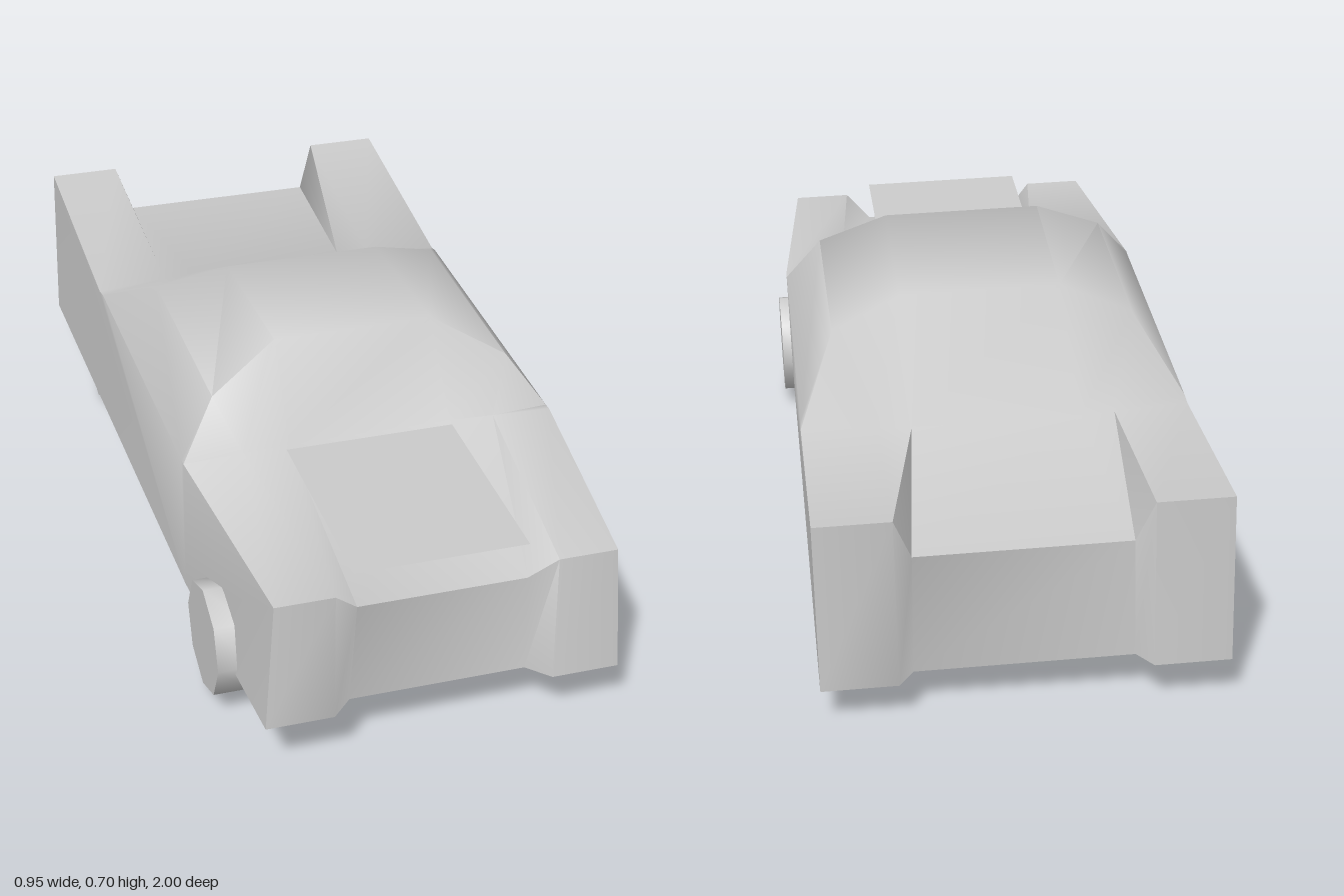
import * as THREE from 'three';
import { toCreasedNormals } from 'three/addons/utils/BufferGeometryUtils.js';

const material = new THREE.MeshStandardMaterial({ color: 0xcccccc });
const thin = new THREE.MeshStandardMaterial({ color: 0xcccccc, side: THREE.DoubleSide });

// Rows run round the body from the front sill, over the roof, to the floor.
// Each row gives three points [x, y, z]: outer side, fender/shoulder, centre panel.
const rows = [
  [[0.42, 0.157, 1.0], [0.26, 0.157, 1.0], [0.21, 0.157, 0.95]], // front sill
  [[0.40, 0.475, 0.98], [0.26, 0.475, 0.98], [0.2, 0.415, 0.95]], // nose top
  [[0.455, 0.49, 0.42], [0.31, 0.495, 0.42], [0.2, 0.5, 0.42]], // windscreen base
  [[0.455, 0.488, 0.4], [0.365, 0.612, 0.34], [0.195, 0.70, 0.27]], // roof front
  [[0.457, 0.475, -0.41], [0.365, 0.605, -0.2], [0.195, 0.665, -0.15]], // roof rear
  [[0.458, 0.468, -0.44], [0.28, 0.47, -0.46], [0.2, 0.47, -0.47]], // rear window base
  [[0.46, 0.523, -1.0], [0.285, 0.523, -1.0], [0.245, 0.412, -0.965]], // tail top
  [[0.46, 0.108, -1.0], [0.285, 0.108, -1.0], [0.25, 0.109, -0.95]], // rear sill
  [[0.452, 0.142, 0.42], [0.28, 0.142, 0.42], [0.2, 0.142, 0.42]], // floor
];

function bodyGeometry() {
  const full = rows.map((row) => [
    ...row.map(([x, y, z]) => [-x, y, z]),
    ...row.slice().reverse(),
  ]);
  const n = full.length;
  const positions = [];
  const tri = (...points) => points.forEach((p) => positions.push(...p));

  // Wrap of panels across the car
  for (let r = 0; r < n; r++) {
    const a = full[r];
    const b = full[(r + 1) % n];
    for (let c = 0; c < 5; c++) {
      tri(a[c], a[c + 1], b[c + 1]);
      tri(a[c], b[c + 1], b[c]);
    }
  }
  // Flat sides, fanned from the floor point
  for (let r = 0; r < n - 2; r++) {
    tri(full[n - 1][5], full[r + 1][5], full[r][5]);
    tri(full[n - 1][0], full[r][0], full[r + 1][0]);
  }
  const geometry = new THREE.BufferGeometry();
  geometry.setAttribute('position', new THREE.Float32BufferAttribute(positions, 3));
  return toCreasedNormals(geometry, 1.1);
}

export function createModel() {
  const model = new THREE.Group();
  model.name = 'car';
  const car = new THREE.Group();
  car.name = 'leaningCar';
  car.rotation.z = -0.022; // slight lean to the left
  model.add(car);

  const add = (name, geometry, mat, x, y, z) => {
    const mesh = new THREE.Mesh(geometry, mat);
    mesh.name = name;
    mesh.position.set(x, y, z);
    car.add(mesh);
    return mesh;
  };

  add('body', bodyGeometry(), material, 0, 0, 0);

  // Thin hood panel floating above the dipped nose
  const hood = new THREE.PlaneGeometry(0.41, 0.51).rotateX(-Math.PI / 2 - 0.016);
  add('hoodPanel', hood, thin, -0.008, 0.508, 0.7);

  // Eight-sided wheels
  const wheel = toCreasedNormals(
    new THREE.CylinderGeometry(0.135, 0.135, 0.085, 8).rotateZ(Math.PI / 2), 0.9);
  for (const [side, s] of [['left', 1], ['right', -1]]) {
    add(side + 'FrontWheel', wheel, material, s * 0.432, 0.172, 0.665);
    add(side + 'RearWheel', wheel, material, s * 0.382, 0.144, -0.66);
  }
  return model;
}
